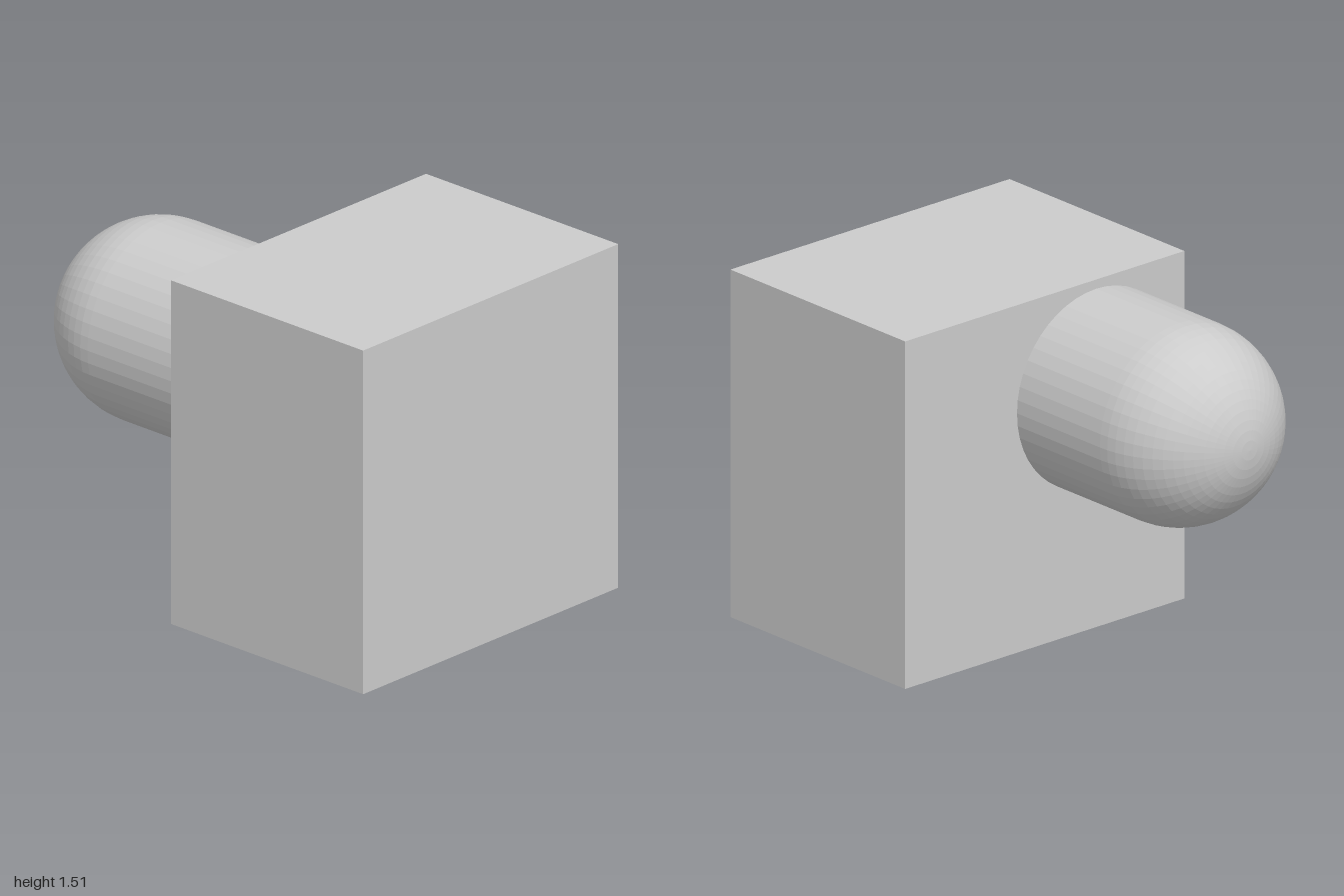
import * as THREE from 'three';

export function createModel() {
  const group = new THREE.Group();

  // Solid rectangular block
  const block = new THREE.Mesh(
    new THREE.BoxGeometry(1.51, 1.51, 1.065),
    new THREE.MeshStandardMaterial({ color: 0xcccccc })
  );
  block.name = 'block';
  block.position.set(0, 0.755, 0.4675);
  group.add(block);

  // Round-ended peg on the back: straight shaft, then a half-sphere, turned to point along -z
  const radius = 0.43, shaft = 0.505, rings = 16;
  const profile = [new THREE.Vector2(radius, 0)];
  for (let i = 0; i <= rings; i++) {
    const a = (i / rings) * Math.PI / 2;
    profile.push(new THREE.Vector2(i === rings ? 0 : radius * Math.cos(a), shaft + radius * Math.sin(a)));
  }
  const peg = new THREE.Mesh(
    new THREE.LatheGeometry(profile, 48).rotateX(-Math.PI / 2),
    new THREE.MeshStandardMaterial({ color: 0xcccccc, flatShading: true })
  );
  peg.name = 'roundedPeg';
  peg.position.set(-0.28, 1.04, -0.065);
  group.add(peg);

  return group;
}
